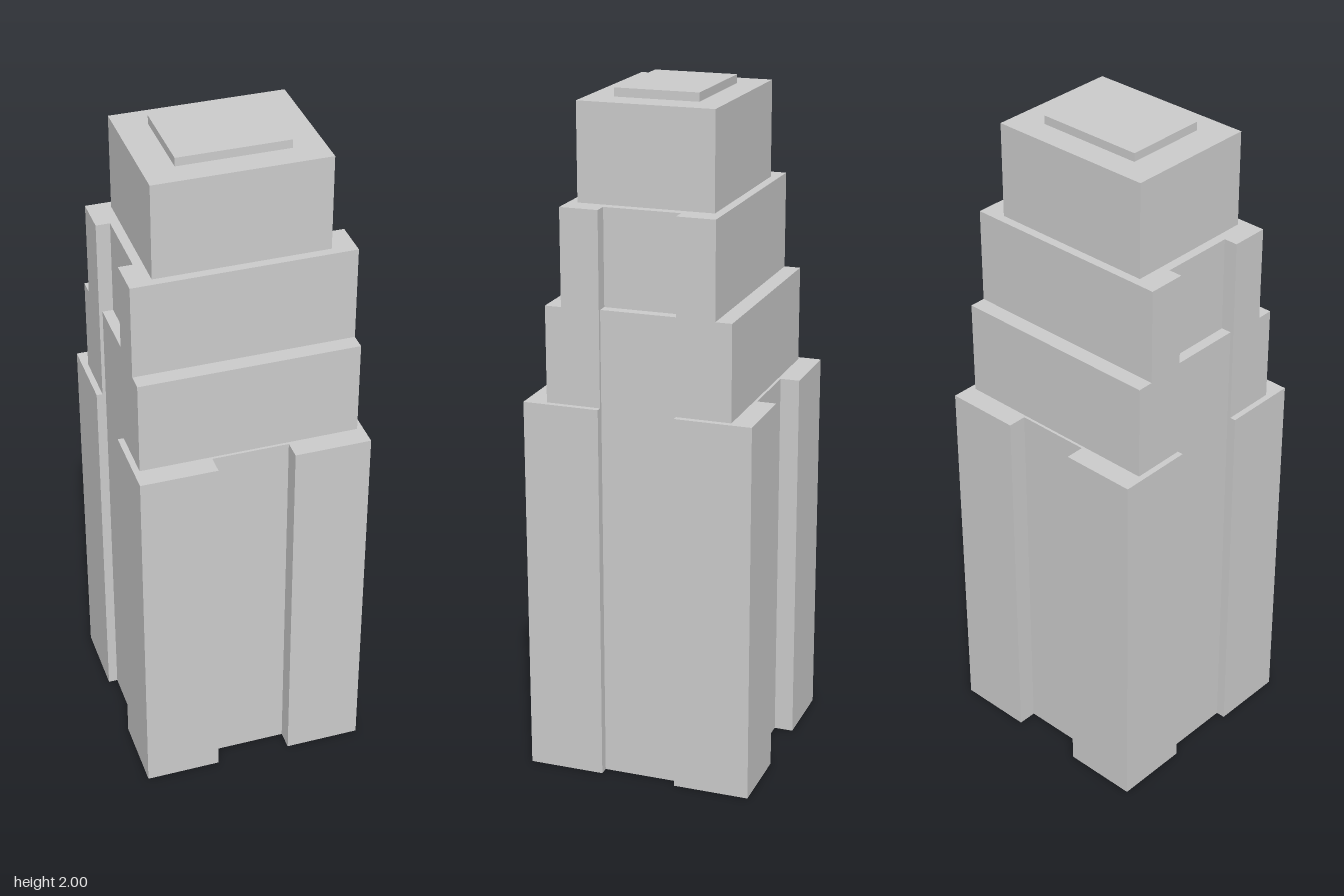
import * as THREE from 'three';
import { mergeGeometries } from 'three/addons/utils/BufferGeometryUtils.js';

const NOTCH = 0.1125; // half width of the recesses in the facades
const LIP = 0.002;    // roofs run slightly under the tier above

// Tiers from the ground up: half width, half depth, top height,
// and the recessed facade positions where a side is notched
const tiers = [
  { name: 'base', w: 0.3375, d: 0.3375, top: 1.13, sideRecess: 0.31, frontRecess: 0.281 },
  { name: 'lowerSetback', w: 0.32, d: 0.273, top: 1.412, sideRecess: 0.31 },
  { name: 'upperSetback', w: 0.32, d: 0.225, top: 1.694, sideRecess: 0.279 },
  { name: 'crown', w: 0.252, d: 0.199, top: 1.975 },
  { name: 'roofCap', w: 0.162, d: 0.123, top: 2 },
];

// Counter-clockwise plan outline, mirrored from one quarter; e shrinks it
function outline({ w, d, sideRecess, frontRecess }, e = 0) {
  const n = NOTCH + e;
  const q = [[w - e, d - e]];
  if (sideRecess) q.unshift([sideRecess - e, n], [w - e, n]);
  if (frontRecess) q.push([n, d - e], [n, frontRecess - e]);
  const back = [...q].reverse();
  return [
    ...q,
    ...back.map(([x, y]) => [-x, y]),
    ...q.map(([x, y]) => [-x, -y]),
    ...back.map(([x, y]) => [x, -y]),
  ].map(([x, y]) => new THREE.Vector2(x, y));
}

// Flat wall panels along an outline
function walls(points, y0, y1) {
  const panels = points.map((a, i) => {
    const b = points[(i + 1) % points.length];
    const panel = new THREE.PlaneGeometry(a.distanceTo(b), y1 - y0);
    panel.rotateY(Math.atan2(b.y - a.y, b.x - a.x));
    return panel.translate((a.x + b.x) / 2, (y0 + y1) / 2, -(a.y + b.y) / 2);
  });
  return mergeGeometries(panels);
}

// Flat roof, open where the next tier rises
function roof(tier, next) {
  const shape = new THREE.Shape(outline(tier));
  if (next) shape.holes.push(new THREE.Path(outline(next, LIP).reverse()));
  return new THREE.ShapeGeometry(shape).rotateX(-Math.PI / 2).translate(0, tier.top, 0);
}

export function createModel() {
  const model = new THREE.Group();
  model.name = 'steppedTower';
  // Hollow shell with an open underside
  const material = new THREE.MeshStandardMaterial({
    color: 0xcccccc, flatShading: true, side: THREE.DoubleSide,
  });
  let floor = 0;
  tiers.forEach((tier, i) => {
    const group = new THREE.Group();
    group.name = tier.name;
    const wallMesh = new THREE.Mesh(walls(outline(tier), floor, tier.top), material);
    wallMesh.name = tier.name + 'Walls';
    const roofMesh = new THREE.Mesh(roof(tier, tiers[i + 1]), material);
    roofMesh.name = tier.name + 'Roof';
    group.add(wallMesh, roofMesh);
    model.add(group);
    floor = tier.top;
  });
  return model;
}
